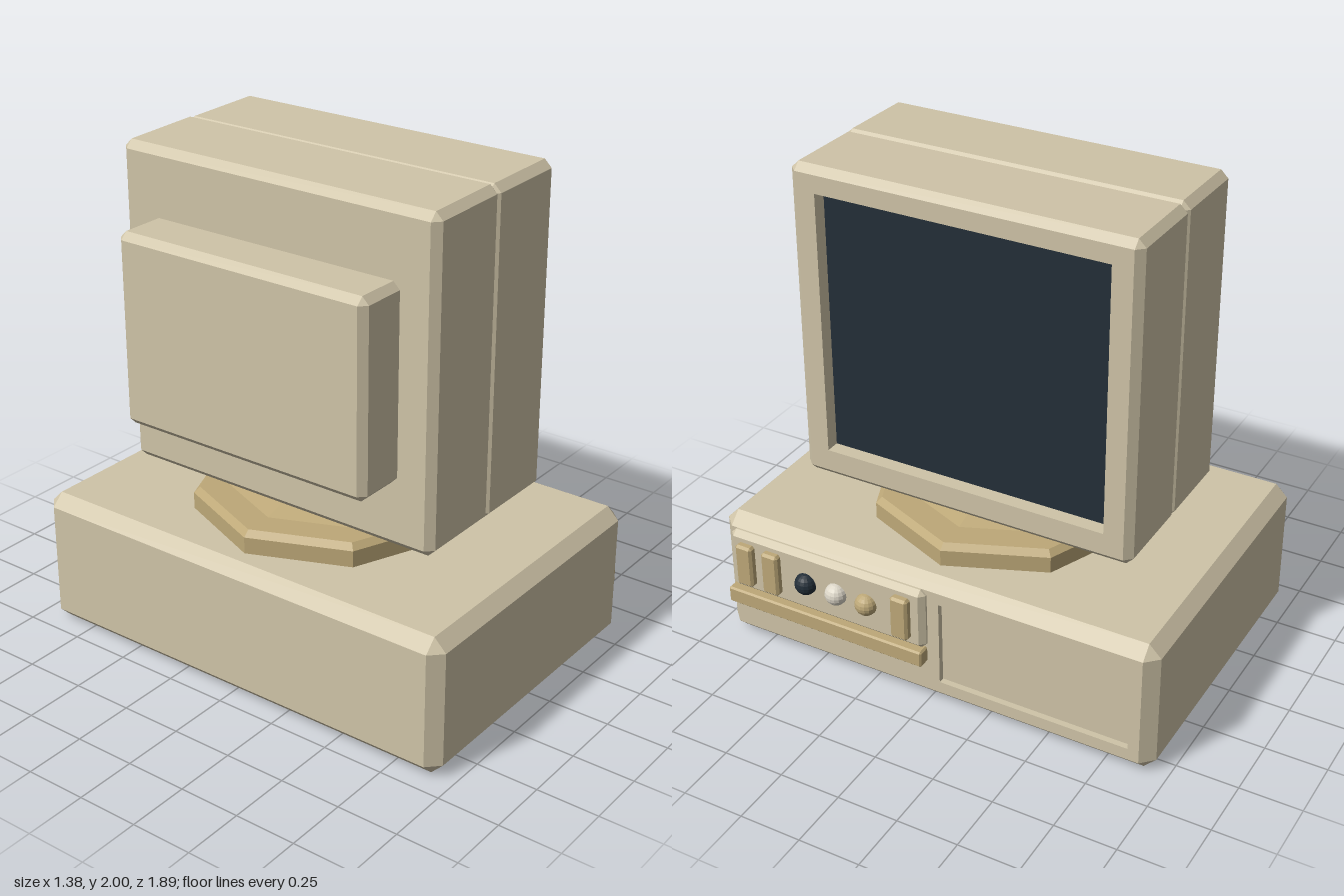
import * as THREE from 'three';

const material = (name, color) => {
  const m = new THREE.MeshStandardMaterial({ color });
  m.name = name;
  return m;
};

const flat = (geometry) => {
  const g = geometry.index ? geometry.toNonIndexed() : geometry;
  g.computeVertexNormals();
  return g;
};

// Eight-point section across x: a rectangle with its corners cut off by c
function section(x, y0, y1, z0, z1, c) {
  return [
    [x, y1, z0 + c], [x, y1, z1 - c], [x, y1 - c, z1], [x, y0 + c, z1],
    [x, y0, z1 - c], [x, y0, z0 + c], [x, y0 + c, z0], [x, y1 - c, z0],
  ];
}

// Joins sections into a closed, faceted skin
function skin(rings) {
  const pos = [];
  const tri = (a, b, c) => {
    const [A, B, C] = [a, b, c].map((p) => new THREE.Vector3(...p));
    if (B.sub(A).cross(C.sub(A)).lengthSq() > 1e-14) pos.push(...a, ...b, ...c);
  };
  for (let r = 0; r < rings.length - 1; r++) {
    const a = rings[r], b = rings[r + 1];
    for (let i = 0; i < 8; i++) {
      const j = (i + 1) % 8;
      tri(a[i], a[j], b[j]);
      tri(a[i], b[j], b[i]);
    }
  }
  const first = rings[0], last = rings[rings.length - 1];
  for (let i = 1; i < 7; i++) {
    tri(first[0], first[i + 1], first[i]);
    tri(last[0], last[i], last[i + 1]);
  }
  const g = new THREE.BufferGeometry();
  g.setAttribute('position', new THREE.Float32BufferAttribute(pos, 3));
  return flat(g);
}

// Chamfered box; c0 and c1 are the chamfers of the -x and +x ends,
// rise lifts the top towards +x, recess sinks a rectangle into the +x face
function chamferBox([x0, x1], [y0, y1], [z0, z1], c, { c0 = c, c1 = c, rise = 0, recess } = {}) {
  const ring = (x, inset) => section(
    x, y0 + inset, y1 - rise * (x1 - x) / (x1 - x0) - inset, z0 + inset, z1 - inset, c - inset);
  const rings = [ring(x0, c0), ring(x0 + c0, 0), ring(x1 - c1, 0), ring(x1, c1)];
  if (recess) {
    const { y, z, depth } = recess;
    rings.push(section(x1, ...y, ...z, 0), section(x1 - depth, ...y, ...z, 0));
  }
  return skin(rings);
}

export function createModel() {
  const model = new THREE.Group();
  model.name = 'desktopComputer';

  const beige = material('beige casing', 0xcfc4a8);
  const tan = material('tan trim', 0xbda878);
  const dark = material('dark glass', 0x232e38);
  const pale = material('pale button', 0xdcd6c8);

  const add = (name, geometry, mat, parent = model) => {
    const mesh = new THREE.Mesh(geometry, mat);
    mesh.name = name;
    parent.add(mesh);
    return mesh;
  };

  // Desktop case with a sunken drive panel
  add('computerCase', chamferBox([-0.69, 0.61], [0, 0.565], [-0.945, 0.945], 0.05, {
    recess: { y: [0.1, 0.465], z: [-0.85, -0.05], depth: 0.025 },
  }), beige);

  // Control panel with ledge, keys and knobs
  const controls = new THREE.Group();
  controls.name = 'controls';
  model.add(controls);
  add('controlPanel', chamferBox([0.57, 0.64], [0.248, 0.515], [0, 0.89], 0.022), beige, controls);
  add('ledge', chamferBox([0.58, 0.66], [0.18, 0.25], [0.003, 0.898], 0.007), tan, controls);
  for (const z of [0.807, 0.685, 0.094]) {
    add('key', chamferBox([0.62, 0.67], [0.29, 0.475], [z - 0.038, z + 0.038], 0.01), tan, controls);
  }
  for (const [z, mat] of [[0.53, dark], [0.39, pale], [0.253, tan]]) {
    add('knob', flat(new THREE.SphereGeometry(0.046, 16, 10)), mat, controls)
      .position.set(0.64, 0.382, z);
  }

  // Eight-sided swivel stand
  const stand = new THREE.Group();
  stand.name = 'swivelStand';
  stand.position.x = -0.04;
  model.add(stand);
  for (const [name, top, bottom, y0, y1] of [
    ['standDisc', 0.545, 0.545, 0.55, 0.632],
    ['standRim', 0.52, 0.545, 0.632, 0.656],
    ['standNeck', 0.19, 0.41, 0.654, 0.72],
  ]) {
    add(name, flat(new THREE.CylinderGeometry(top, bottom, y1 - y0, 8)), tan, stand)
      .position.y = (y0 + y1) / 2;
  }

  // Monitor: two shells meeting at a groove, plus a rear housing
  const monitor = new THREE.Group();
  monitor.name = 'monitor';
  model.add(monitor);
  add('rearShell', chamferBox([-0.4, -0.028], [0.69, 1.998], [-0.71, 0.71], 0.03,
    { c1: 0.014, rise: 0.008 }), beige, monitor);
  add('frontShell', chamferBox([-0.03, 0.345], [0.69, 2], [-0.71, 0.71], 0.03, {
    c0: 0.014, rise: 0.006,
    recess: { y: [0.81, 1.897], z: [-0.598, 0.598], depth: 0.065 },
  }), beige, monitor);
  add('rearHousing', chamferBox([-0.605, -0.36], [0.95, 1.72], [-0.56, 0.56], 0.028), beige, monitor);
  add('screen', new THREE.BoxGeometry(0.008, 1.087, 1.196), dark, monitor)
    .position.set(0.282, 1.3535, 0);

  return model;
}
